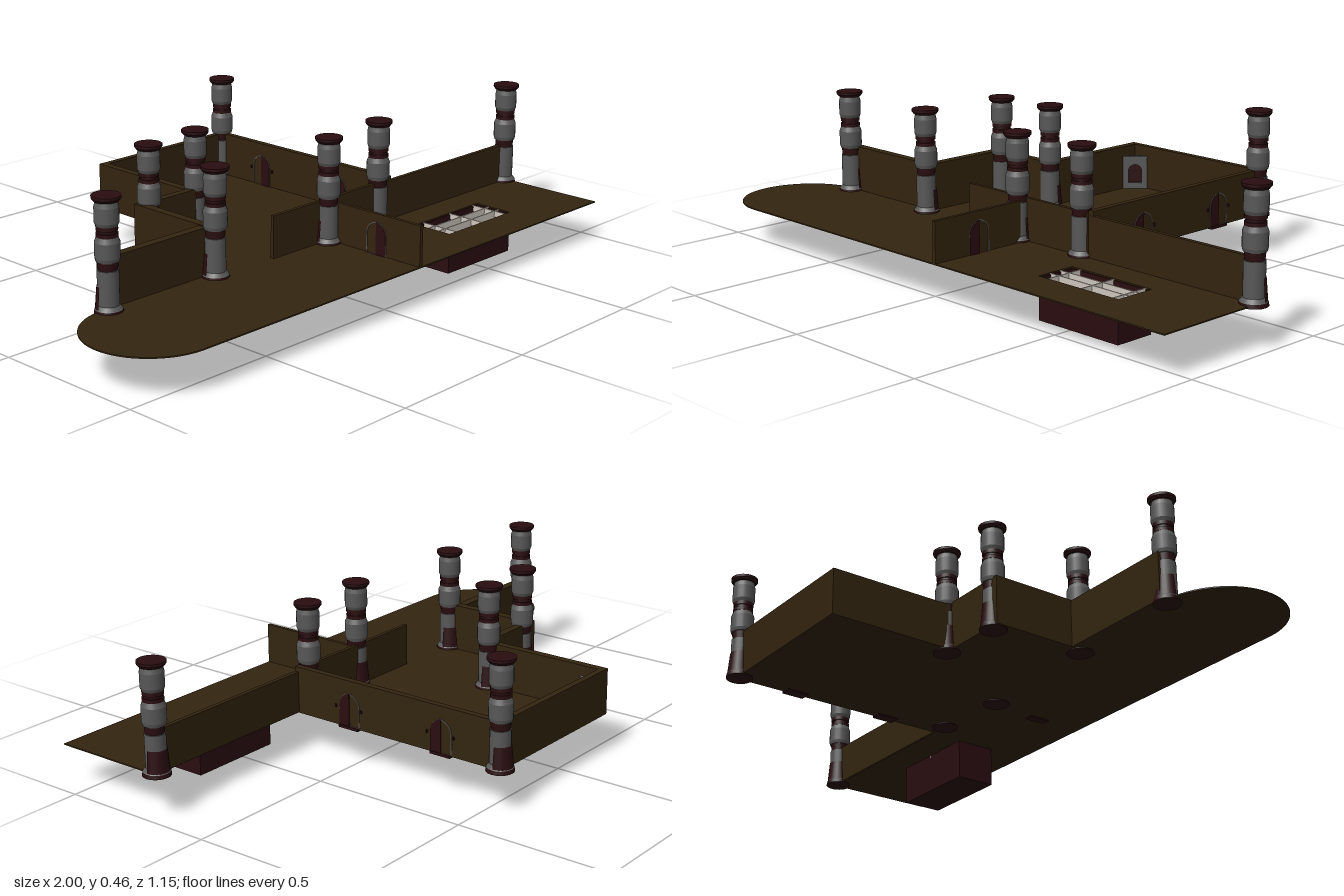
import * as THREE from 'three';

const mat = (name, color, side = THREE.FrontSide) => {
  const m = new THREE.MeshStandardMaterial({ color, side });
  m.name = name;
  return m;
};

export function createModel() {
  const root = new THREE.Group();
  const brown = mat('dark brown', 0x33240f);
  const grey = mat('stone grey', 0x575757);
  const red = mat('dark red', 0x2a0d10, THREE.DoubleSide);
  const pale = mat('pale lattice', 0xcfc6bd);
  const FLOOR = 0.13;

  const add = (parent, name, geo, material, x = 0, y = 0, z = 0) => {
    const m = new THREE.Mesh(geo, material);
    m.name = name;
    m.position.set(x, y, z);
    parent.add(m);
    return m;
  };
  // box given by its limits on each axis
  const block = (name, material, x0, x1, y0, y1, z0, z1) =>
    add(root, name, new THREE.BoxGeometry(x1 - x0, y1 - y0, z1 - z0), material,
      (x0 + x1) / 2, (y0 + y1) / 2, (z0 + z1) / 2);

  // Floor slab: rounded end, stepped rooms, and a pit opening
  const pit = { x0: 0.375, x1: 0.682, z0: 0.308, z1: 0.44 };
  const s = new THREE.Shape();
  s.moveTo(-0.8, -0.57);
  [[0.967, 0.57], [0.967, 0.2], [0.363, 0.2], [0.363, -0.545], [-0.19, -0.545],
    [-0.19, -0.13], [-0.413, -0.13], [-0.413, 0.147], [-0.8, 0.147], [-0.8, 0.17]]
    .forEach(([x, z]) => s.lineTo(x, -z));
  s.absarc(-0.8, -0.37, 0.2, Math.PI / 2, Math.PI * 1.5, false);
  const hole = new THREE.Path();
  hole.moveTo(pit.x0, -pit.z0);
  hole.lineTo(pit.x0, -pit.z1);
  hole.lineTo(pit.x1, -pit.z1);
  hole.lineTo(pit.x1, -pit.z0);
  hole.closePath();
  s.holes.push(hole);
  const floorGeo = new THREE.ExtrudeGeometry(s, { depth: 0.004, bevelEnabled: false, curveSegments: 24 });
  floorGeo.rotateX(-Math.PI / 2);
  add(root, 'floor', floorGeo, brown, 0, FLOOR - 0.004, 0);

  // Walls: x0, x1, z0, z1, top
  [
    ['leftRoomWall', -0.8, -0.385, 0.147, 0.175, 0.277],
    ['stepSideWall', -0.413, -0.385, -0.13, 0.175, 0.28],
    ['stepBackWall', -0.413, -0.165, -0.13, -0.105, 0.28],
    ['backRoomSideWall', -0.19, -0.165, -0.545, -0.105, 0.272],
    ['backRoomRearWall', -0.19, 0.363, -0.545, -0.525, 0.272],
    ['doorWall', 0.343, 0.363, -0.545, 0.21, 0.272],
    ['rightRoomWall', 0.31, 0.967, 0.197, 0.211, 0.257],
    ['middleWall', -0.17, 0.343, 0.2, 0.212, 0.263],
    ['crossWall', 0.073, 0.085, 0.21, 0.57, 0.257],
  ].forEach(([name, x0, x1, z0, z1, top]) => block(name, brown, x0, x1, FLOOR - 0.002, top, z0, z1));

  // Pit box, open at the top
  const { x0, x1, z0, z1 } = pit;
  block('pitBottom', red, x0, x1, 0, 0.004, z0, z1);
  block('pitFront', red, x0, x1, 0, 0.126, z1 - 0.004, z1);
  block('pitBack', red, x0, x1, 0, 0.126, z0, z0 + 0.004);
  block('pitLeft', red, x1 - 0.004, x1, 0, 0.126, z0, z1);
  block('pitRight', red, x0, x0 + 0.004, 0, 0.126, z0, z1);
  // Lattice over the pit
  [0.41, 0.54, 0.66].forEach((x) =>
    block('latticeCrossBar', pale, x - 0.002, x + 0.002, 0.11, 0.129, z0, z1));
  [0.355, 0.395].forEach((z) =>
    block('latticeLongBar', pale, x0, x1, 0.105, 0.129, z - 0.002, z + 0.002));

  // Columns: [bottom, top, lower radius, upper radius, material]
  const drums = [
    [0.124, 0.136, 0.042, 0.04, red],
    [0.136, 0.148, 0.04, 0.031, grey],
    [0.148, 0.25, 0.031, 0.031, grey],
    [0.25, 0.274, 0.028, 0.03, red],
    [0.274, 0.285, 0.033, 0.036, grey],
    [0.285, 0.33, 0.036, 0.036, grey],
    [0.33, 0.345, 0.036, 0.03, grey],
    [0.345, 0.356, 0.031, 0.031, red],
    [0.356, 0.364, 0.027, 0.027, red],
    [0.364, 0.376, 0.031, 0.031, red],
    [0.376, 0.386, 0.031, 0.035, grey],
    [0.386, 0.43, 0.035, 0.035, grey],
    [0.43, 0.446, 0.035, 0.031, grey],
    [0.446, 0.454, 0.036, 0.042, red],
    [0.454, 0.462, 0.042, 0.042, red],
  ];
  [[-0.79, 0.183], [-0.393, 0.195], [-0.37, -0.11], [-0.163, -0.127], [0.058, 0.222],
    [0.308, 0.203], [0.353, -0.536], [0.955, 0.205]].forEach(([x, z]) => {
    const col = new THREE.Group();
    col.name = 'column';
    col.position.set(x, 0, z);
    drums.forEach(([y0, y1, r0, r1, m]) =>
      add(col, 'columnDrum', new THREE.CylinderGeometry(r1, r0, y1 - y0, 20), m, 0, (y0 + y1) / 2, 0));
    // red facing on the rear of the lower shaft
    add(col, 'columnRearFacing',
      new THREE.CylinderGeometry(0.0325, 0.0385, 0.068, 12, 1, true, Math.PI / 2, Math.PI), red, 0, 0.17, 0);
    root.add(col);
  });

  // Arch pieces, drawn upright with the base at y = 0
  const W = 0.037, SPRING = 0.06, H = 0.102;
  const flat = (shape, depth) => new THREE.ExtrudeGeometry(shape, { depth, bevelEnabled: false, curveSegments: 10 });
  const outline = (target, w, h) => {
    target.moveTo(-w, 0);
    target.lineTo(w, 0);
    target.lineTo(w, SPRING);
    target.quadraticCurveTo(w, h - 0.01, 0, h);
    target.quadraticCurveTo(-w, h - 0.01, -w, SPRING);
    target.closePath();
    return target;
  };
  const leafShape = new THREE.Shape();
  leafShape.moveTo(-W, 0);
  leafShape.lineTo(0, 0);
  leafShape.lineTo(0, H);
  leafShape.quadraticCurveTo(-W, H - 0.01, -W, SPRING);
  const trimShape = outline(new THREE.Shape(), W + 0.001, H + 0.001);
  trimShape.holes.push(outline(new THREE.Path(), W - 0.002, H - 0.002));

  // Doors, each with one red leaf and a slim frame through the wall
  [['crossDoor', 0.079, 0.402, 0.012], ['frontDoor', 0.353, 0, 0.02], ['rearDoor', 0.353, -0.337, 0.02]]
    .forEach(([name, x, z, thick]) => {
      const d = new THREE.Group();
      d.name = name;
      d.position.set(x, FLOOR, z);
      d.rotation.y = Math.PI / 2;
      const depth = thick + 0.006;
      add(d, 'doorLeaf', flat(leafShape, depth), red, 0, 0, -depth / 2);
      add(d, 'doorFrame', flat(trimShape, depth - 0.002), grey, 0, 0, -depth / 2 + 0.001);
      add(d, 'doorSill', new THREE.BoxGeometry(0.072, 0.008, depth + 0.01), red, 0, -0.004, 0);
      if (name !== 'crossDoor') {
        [-0.05, 0.045].forEach((k) =>
          add(d, 'wallLamp', new THREE.BoxGeometry(0.005, 0.009, depth + 0.004), red, k, 0.055, 0));
      }
      root.add(d);
    });

  // Arched niche set across the rear corner
  const niche = new THREE.Group();
  niche.name = 'cornerNiche';
  niche.position.set(-0.138, FLOOR, -0.497);
  niche.rotation.y = Math.PI / 4;
  const surround = new THREE.Shape();
  surround.moveTo(-0.04, 0);
  surround.lineTo(0.04, 0);
  surround.lineTo(0.04, 0.11);
  surround.lineTo(-0.04, 0.11);
  const opening = new THREE.Path();
  opening.moveTo(-0.022, 0.02);
  opening.lineTo(0.022, 0.02);
  opening.lineTo(0.022, 0.06);
  opening.absarc(0, 0.06, 0.022, 0, Math.PI, false);
  opening.closePath();
  surround.holes.push(opening);
  add(niche, 'nicheSurround', flat(surround, 0.012), grey, 0, 0, -0.006);
  add(niche, 'nicheBack', new THREE.BoxGeometry(0.06, 0.09, 0.004), red, 0, 0.05, -0.008);
  root.add(niche);

  return root;
}
